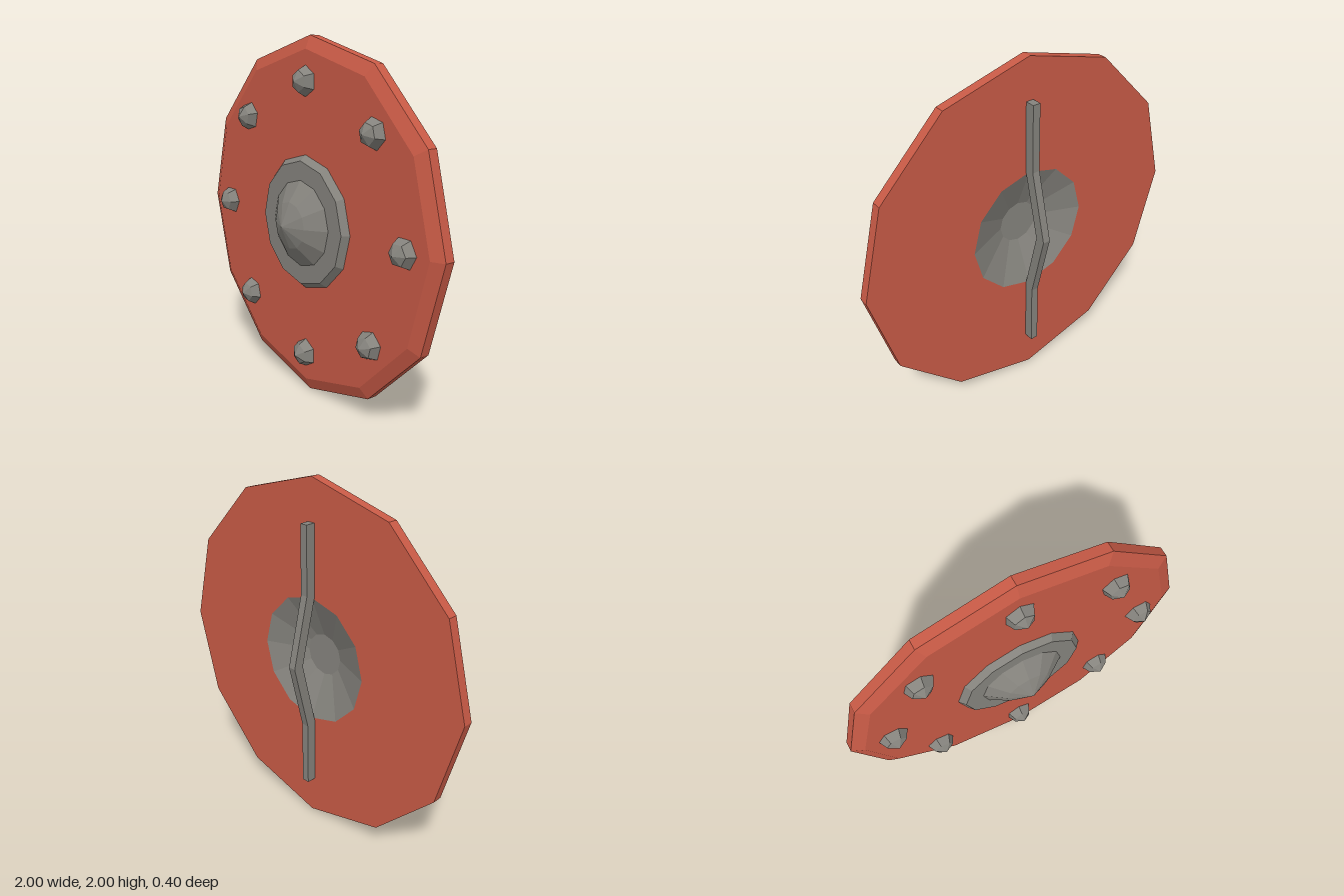
import * as THREE from 'three';

const red = new THREE.MeshStandardMaterial({ name: 'red paint', color: 0xc85a46, flatShading: true });
const iron = new THREE.MeshStandardMaterial({ name: 'grey iron', color: 0x85837d, flatShading: true });

// Turned part with its axis along +z; profile is [radius, z] pairs.
function turned(name, profile, sides, material) {
  const points = profile.map(([r, z]) => new THREE.Vector2(r, z));
  const geometry = new THREE.LatheGeometry(points, sides).rotateX(Math.PI / 2);
  const mesh = new THREE.Mesh(geometry, material);
  mesh.name = name;
  return mesh;
}

export function createModel() {
  const shield = new THREE.Group();
  shield.name = 'roundShield';

  // Twelve-sided board with a bevelled front rim and an open centre
  shield.add(turned('board',
    [[0.365, -0.05], [1, -0.05], [1, 0.005], [0.93, 0.035], [0.365, 0.035]], 12, red));

  // Central boss: flange and pointed dome
  shield.add(turned('boss',
    [[0.375, 0.035], [0.345, 0.07], [0.24, 0.07], [0.13, 0.145], [0, 0.2]], 12, iron));

  // Hollow behind the boss
  shield.add(turned('bossHollow',
    [[0, 0.05], [0.12, 0.05], [0.365, -0.05]], 12, iron));

  // Ring of eight hexagonal studs
  for (let i = 0; i < 8; i++) {
    const a = i * Math.PI / 4;
    const stud = turned('stud', [[0.085, 0.03], [0.058, 0.083], [0, 0.115]], 6, iron);
    stud.position.set(Math.sin(a) * 0.765, Math.cos(a) * 0.765, 0);
    stud.rotation.z = -a;
    shield.add(stud);
  }

  // Bent hand grip across the back, drawn as [z, y] and extruded across x
  const side = [[-0.05, 0.77], [-0.05, 0.37], [-0.14, 0], [-0.05, -0.37], [-0.05, -0.77],
    [-0.105, -0.77], [-0.105, -0.39], [-0.2, 0], [-0.105, 0.39], [-0.105, 0.77]];
  const outline = new THREE.Shape(side.map(([z, y]) => new THREE.Vector2(-z, y)));
  const gripGeometry = new THREE.ExtrudeGeometry(outline, { depth: 0.044, bevelEnabled: false });
  gripGeometry.translate(0, 0, -0.022).rotateY(Math.PI / 2);
  const grip = new THREE.Mesh(gripGeometry, iron);
  grip.name = 'handGrip';
  shield.add(grip);

  // Stand the shield on the ground
  shield.children.forEach((part) => { part.position.y += 1; });
  return shield;
}
